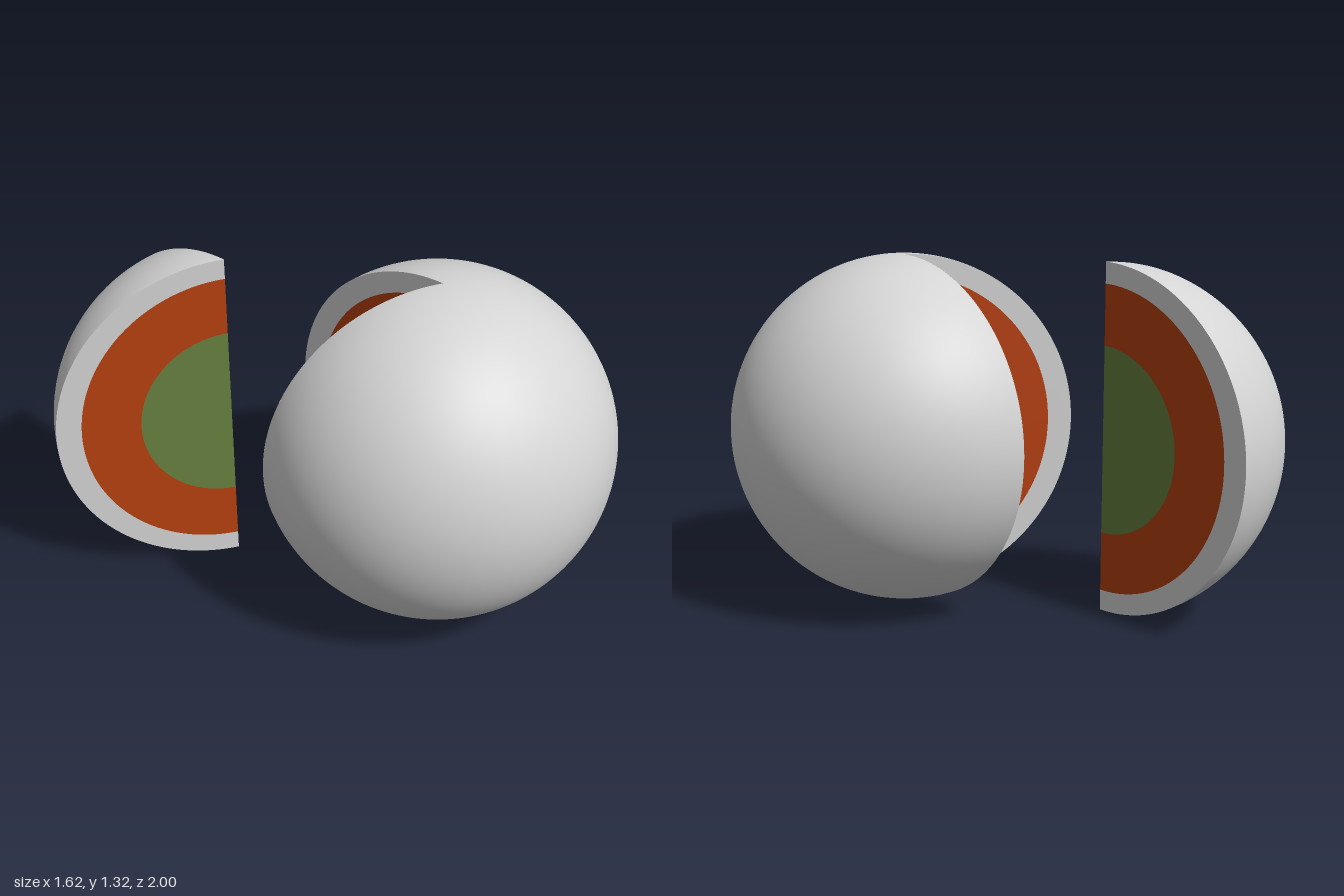
import * as THREE from 'three';

const RADIUS = 0.661;
const SQUASH = 0.975; // inner layers are slightly narrower than tall
const MANTLE = 0.582, CORE = 0.355;
const rad = THREE.MathUtils.degToRad;

const paint = (name, color, side = THREE.FrontSide) => {
  const m = new THREE.MeshStandardMaterial({ color, side });
  m.name = name;
  return m;
};

// Half of an elliptical band, lying to the right of the vertical axis
function halfBand(rx, ry, innerX, innerY) {
  const shape = new THREE.Shape();
  shape.absellipse(0, 0, rx, ry, -Math.PI / 2, Math.PI / 2, false);
  if (innerX) shape.absellipse(0, 0, innerX, innerY, Math.PI / 2, -Math.PI / 2, true);
  return new THREE.ShapeGeometry(shape, 64);
}

export function createModel() {
  const model = new THREE.Group();
  model.name = 'layeredSphere';
  const shellMat = paint('shell grey', 0xd4d4d4, THREE.DoubleSide);
  const mantleMat = paint('mantle orange', 0xb64010, THREE.DoubleSide);
  const coreMat = paint('core green', 0x66803e, THREE.DoubleSide);

  const layers = [
    ['shellCut', halfBand(RADIUS, RADIUS, MANTLE * SQUASH, MANTLE), shellMat],
    ['mantleCut', halfBand(MANTLE * SQUASH, MANTLE, CORE * SQUASH, CORE), mantleMat],
    ['coreCut', halfBand(CORE * SQUASH, CORE), coreMat],
  ];

  // Sphere segment closed by two layered cut faces
  function segment(name, x, z, start, sweep) {
    const group = new THREE.Group();
    group.name = name;
    group.position.set(x, RADIUS, z);
    const shell = new THREE.Mesh(
      new THREE.SphereGeometry(RADIUS, Math.round(sweep / 3), 64, rad(start), rad(sweep)), shellMat);
    shell.name = 'outerShell';
    group.add(shell);
    for (const angle of [start, start + sweep]) {
      for (const [label, geometry, material] of layers) {
        const face = new THREE.Mesh(geometry, material);
        face.name = label;
        face.rotation.y = Math.PI + rad(angle);
        group.add(face);
      }
    }
    model.add(group);
  }

  segment('mainBody', 0.147, 0.338, 330, 300);
  segment('pulledWedge', -0.24, -0.339, 270, 60);
  return model;
}
